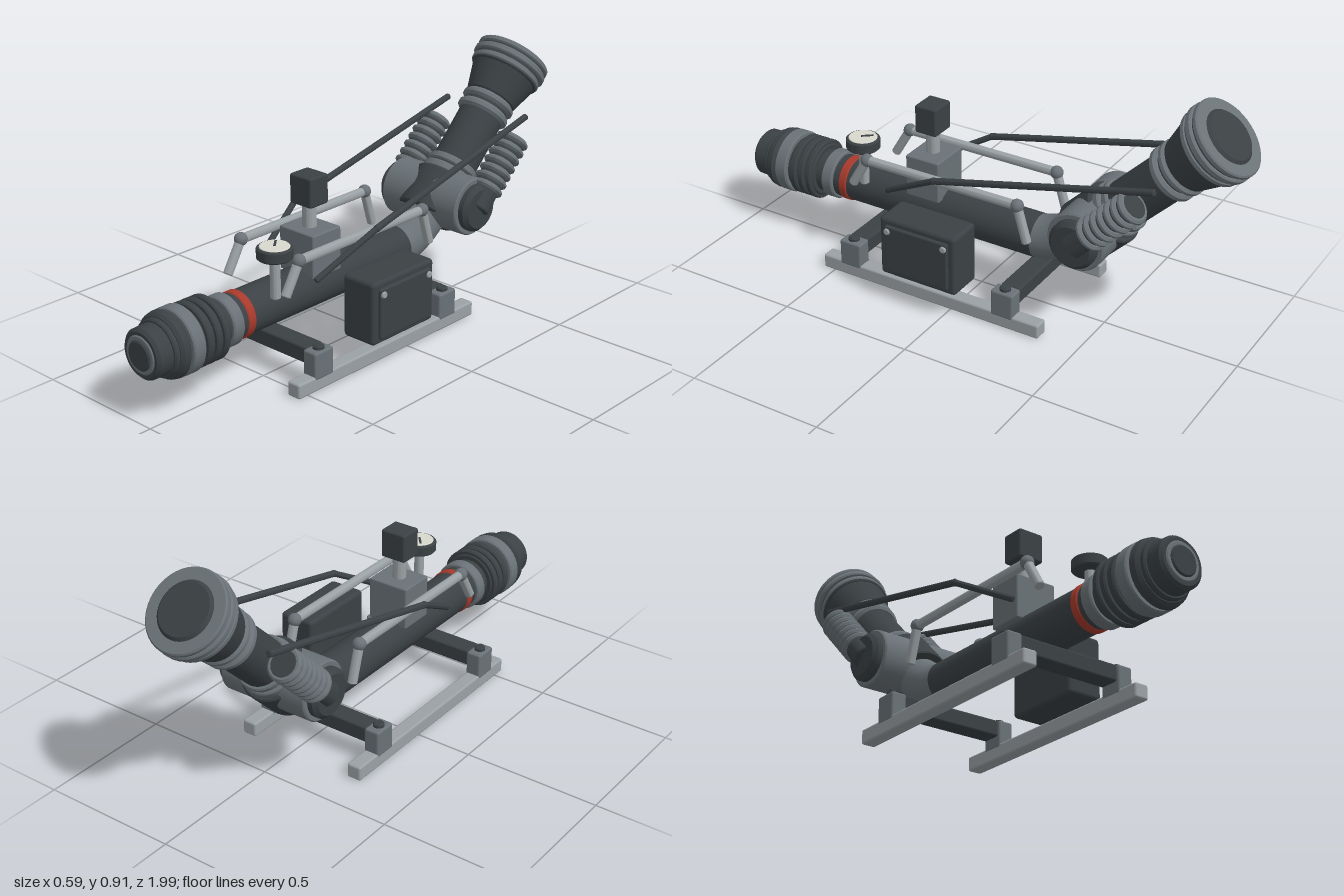
import * as THREE from 'three';
import { toCreasedNormals } from 'three/addons/utils/BufferGeometryUtils.js';
import { RoundedBoxGeometry } from 'three/addons/geometries/RoundedBoxGeometry.js';

const mat = (color) => new THREE.MeshStandardMaterial({ color });
const dark = mat(0x3b4144), mid = mat(0x6a7277), light = mat(0x9aa1a4), red = mat(0xa83a2c), pale = mat(0xd8d8cf);
const V = (x, y, z) => new THREE.Vector3(x, y, z);

function add(parent, name, geometry, material, x = 0, y = 0, z = 0) {
  const m = new THREE.Mesh(geometry, material);
  m.name = name;
  m.position.set(x, y, z);
  parent.add(m);
  return m;
}

function box(parent, name, material, w, h, d, x, y, z, r = 0.008) {
  return add(parent, name, new RoundedBoxGeometry(w, h, d, 2, r), material, x, y, z);
}

// Bevelled disc or cone running along local +y from a to b
function turned(parent, name, material, a, b, r0, r1 = r0, bevel = 0.005) {
  const pts = [[0, a], [r0 - bevel, a], [r0, a + bevel], [r1, b - bevel], [r1 - bevel, b], [0, b]];
  const g = new THREE.LatheGeometry(pts.map((p) => new THREE.Vector2(p[0], p[1])), 40);
  return add(parent, name, toCreasedNormals(g, 0.5), material);
}

// Round bar between two points
function rod(parent, name, material, a, b, r) {
  const m = turned(parent, name, material, 0, a.distanceTo(b), r, r, 0.003);
  m.position.copy(a);
  m.quaternion.setFromUnitVectors(V(0, 1, 0), b.clone().sub(a).normalize());
  return m;
}

function axisGroup(parent, name, x, y, z, tilt) {
  const g = new THREE.Group();
  g.name = name;
  g.position.set(x, y, z);
  g.rotation.x = tilt;
  parent.add(g);
  return g;
}

export function createModel() {
  const root = new THREE.Group();
  const body = axisGroup(root, 'machine', -0.04, 0, 0, 0);

  // Horizontal tube and front coupling, local y runs to the front
  const front = axisGroup(body, 'frontAssembly', 0, 0.243, 0, Math.PI / 2);
  turned(front, 'mainTube', dark, -0.22, 0.72, 0.08);
  turned(front, 'redBand', red, 0.562, 0.598, 0.084);
  turned(front, 'frontCollar', mid, 0.622, 0.67, 0.092);
  turned(front, 'couplingCore', dark, 0.7, 0.93, 0.1);
  for (const [a, b] of [[0.705, 0.73], [0.738, 0.765], [0.773, 0.802]])
    turned(front, 'couplingRib', dark, a, b, 0.114);
  turned(front, 'couplingRing', mid, 0.815, 0.866, 0.118);
  turned(front, 'couplingLip', dark, 0.872, 0.912, 0.117, 0.113, 0.01);
  turned(front, 'noseCap', dark, 0.905, 0.99, 0.09, 0.088, 0.01);
  turned(front, 'noseRing', mid, 0.98, 0.994, 0.068);
  turned(front, 'noseCentre', dark, 0.985, 1.0, 0.052);

  // Elbow rising into the hub
  const bend = new THREE.QuadraticBezierCurve3(V(0, 0.243, -0.2), V(0, 0.243, -0.315), V(0, 0.38, -0.45));
  add(body, 'elbow', new THREE.TubeGeometry(bend, 20, 0.079, 32), mid);

  // Cross hub
  const hub = axisGroup(body, 'hub', 0, 0.375, -0.445, 0);
  const cross = turned(hub, 'crossCylinder', mid, -0.175, 0.175, 0.107);
  cross.rotation.z = Math.PI / 2;
  const ends = turned(hub, 'hubEnds', dark, -0.21, 0.21, 0.088, 0.088, 0.015);
  ends.rotation.z = Math.PI / 2;

  // Raised barrel, local y runs up and back
  const barrel = axisGroup(body, 'barrel', 0, 0.37, -0.443, -Math.PI / 4);
  turned(barrel, 'barrelSocket', dark, -0.08, 0.08, 0.115);
  turned(barrel, 'barrelTube', dark, 0, 0.47, 0.085);
  turned(barrel, 'lowerCollar', mid, 0.08, 0.11, 0.102);
  turned(barrel, 'lowerCollar', mid, 0.118, 0.145, 0.097);
  turned(barrel, 'upperCollar', mid, 0.355, 0.39, 0.1, 0.1, 0.01);
  turned(barrel, 'upperCollar', mid, 0.4, 0.432, 0.102, 0.102, 0.01);
  turned(barrel, 'flare', dark, 0.432, 0.555, 0.098, 0.13);
  turned(barrel, 'muzzleCore', dark, 0.54, 0.63, 0.134);
  for (const [a, b, r] of [[0.547, 0.57, 0.138], [0.577, 0.603, 0.145], [0.61, 0.632, 0.143]])
    turned(barrel, 'muzzleRing', mid, a, b, r);
  turned(barrel, 'muzzleFace', dark, 0.625, 0.642, 0.1, 0.095, 0.006);

  for (const s of [-1, 1]) {
    // Ribbed side cylinder
    const damper = axisGroup(body, 'ribbedCylinder', s * 0.185, 0.37, -0.443, -Math.PI / 4);
    turned(damper, 'cylinderCore', dark, 0, 0.31, 0.048);
    for (let i = 0; i < 7; i++) turned(damper, 'cylinderRib', mid, 0.08 + i * 0.034, 0.104 + i * 0.034, 0.061, 0.061, 0.008);

    // Control link from the tube to the cylinder top
    const link = [V(s * 0.135, 0.325, 0.34), V(s * 0.195, 0.46, 0.1), V(s * 0.185, 0.655, -0.73)];
    rod(body, 'lowerLink', dark, link[0], link[1], 0.011);
    rod(body, 'upperLink', dark, link[1], link[2], 0.012);
    add(body, 'linkJoint', new THREE.SphereGeometry(0.013, 16, 12), dark, ...link[1].toArray());

    // Handrail
    const x = s * 0.138;
    const rail = [V(x, 0.315, 0.485), V(x, 0.425, 0.42), V(x, 0.425, -0.2), V(x, 0.29, -0.24)];
    for (let i = 0; i < 3; i++) rod(body, 'handrail', light, rail[i], rail[i + 1], 0.017);
    for (const p of [rail[1], rail[2]])
      add(body, 'railCorner', new THREE.SphereGeometry(0.024, 20, 14), mid, p.x, p.y, p.z);

    // Skid with posts and bolts
    box(body, 'skid', light, 0.055, 0.054, 0.9, s * 0.228, 0.027, 0.095);
    for (const z of [0.425, -0.21]) {
      box(body, 'skidPost', mid, 0.058, 0.1, 0.088, s * 0.228, 0.09, z);
      turned(body, 'postBolt', dark, 0.135, 0.154, 0.02).position.set(s * 0.228, 0, z);
    }
  }
  for (const z of [0.42, -0.215]) box(body, 'crossbar', dark, 0.41, 0.06, 0.075, 0, 0.112, z);

  // Valve block with knob
  box(body, 'valveBlock', mid, 0.16, 0.16, 0.137, 0, 0.375, 0.225, 0.006);
  rod(body, 'valveStem', light, V(0, 0.45, 0.228), V(0, 0.55, 0.228), 0.025);
  box(body, 'valveKnob', dark, 0.1, 0.107, 0.088, 0, 0.592, 0.228);

  // Pressure gauge
  const gauge = axisGroup(body, 'gauge', 0.082, 0, 0.475, 0);
  turned(gauge, 'gaugeStem', light, 0.29, 0.45, 0.018);
  turned(gauge, 'gaugeCase', dark, 0.436, 0.478, 0.062);
  turned(gauge, 'gaugeFace', pale, 0.47, 0.481, 0.052, 0.052, 0.002);
  box(gauge, 'gaugeNeedle', dark, 0.008, 0.004, 0.045, -0.01, 0.483, -0.012, 0.001).rotation.y = 0.7;

  // Control box with door and screws
  box(body, 'controlBox', dark, 0.14, 0.23, 0.31, 0.245, 0.22, 0.095, 0.015);
  box(body, 'boxDoor', dark, 0.02, 0.185, 0.258, 0.316, 0.218, 0.095, 0.008);
  for (const z of [0.21, -0.02])
    rod(body, 'doorScrew', light, V(0.32, 0.29, z), V(0.333, 0.29, z), 0.012);

  return root;
}
